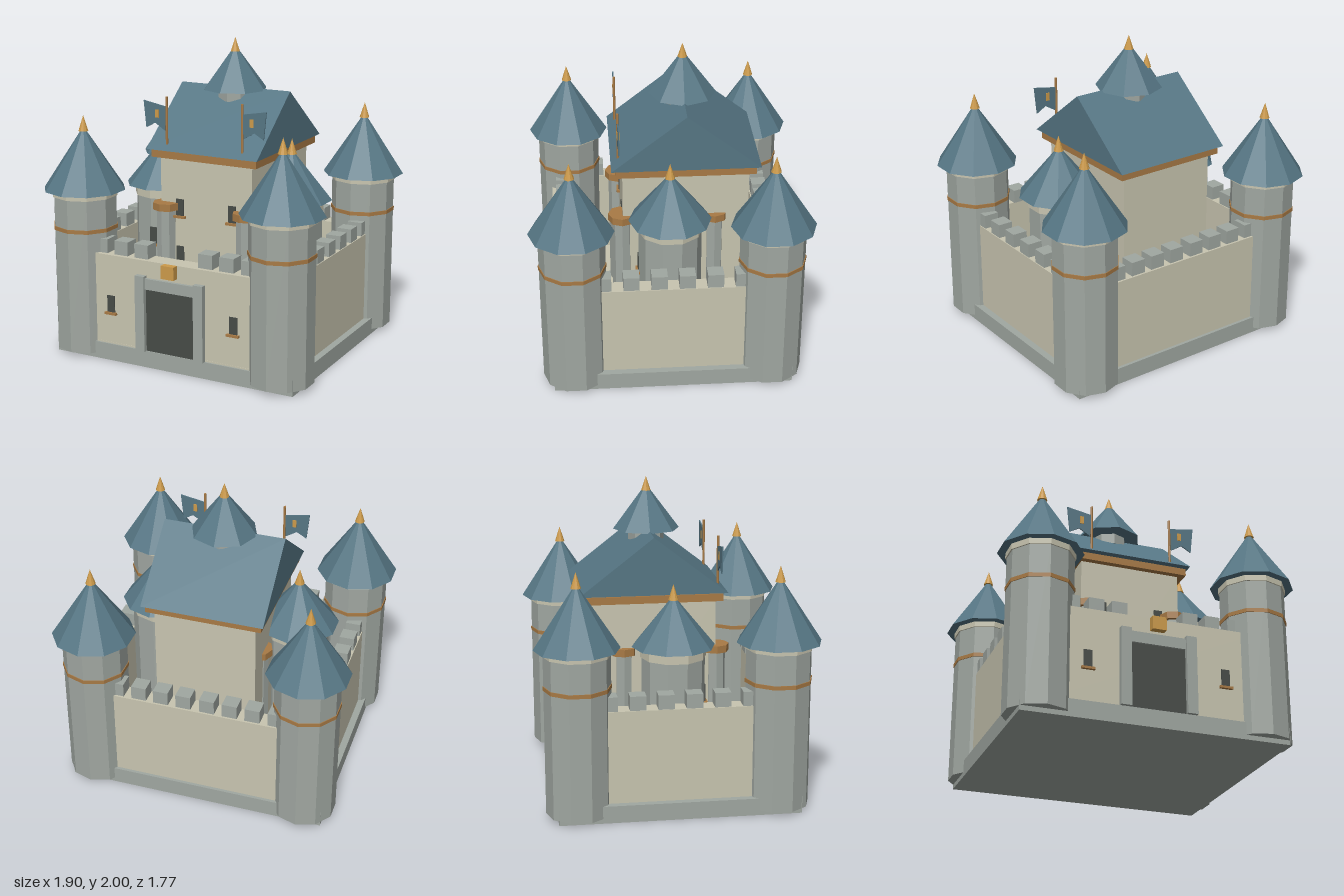
import * as THREE from 'three';

const mat = (name, color) => {
  const m = new THREE.MeshStandardMaterial({ color });
  m.name = name;
  return m;
};

export function createModel() {
  const cream = mat('cream plaster', 0xc8c5b0);
  const stone = mat('grey stone', 0xa0a7a1);
  const slate = mat('blue slate', 0x567684);
  const dark = mat('dark opening', 0x474b47);
  const copper = mat('copper trim', 0xa87a45);
  const gold = mat('gold', 0xcc9a4a);
  const castle = new THREE.Group();
  castle.name = 'castle';

  const add = (parent, name, geo, material, x = 0, y = 0, z = 0) => {
    const mesh = new THREE.Mesh(geo, material);
    mesh.name = name;
    mesh.position.set(x, y, z);
    parent.add(mesh);
    return mesh;
  };
  // Box given by its extents along each axis
  const box = (parent, name, m, x0, x1, y0, y1, z0, z1) =>
    add(parent, name, new THREE.BoxGeometry(x1 - x0, y1 - y0, z1 - z0), m,
      (x0 + x1) / 2, (y0 + y1) / 2, (z0 + z1) / 2);
  // Faceted prism or cone between two heights
  const prism = (parent, name, m, rTop, rBottom, y0, y1, sides, x = 0, z = 0) => {
    const geo = new THREE.CylinderGeometry(rTop, rBottom, y1 - y0, sides).toNonIndexed();
    geo.computeVertexNormals();
    return add(parent, name, geo, m, x, (y0 + y1) / 2, z);
  };
  const group = (name, x = 0, y = 0, z = 0) => {
    const g = new THREE.Group();
    g.name = name;
    g.position.set(x, y, z);
    castle.add(g);
    return g;
  };
  // Window pane with a sill, facing +z from its group origin
  const windowAt = (name, x, y, z, turn = 0) => {
    const g = group(name, x, y, z);
    g.rotation.y = turn;
    box(g, 'pane', dark, -0.0275, 0.0275, -0.055, 0.055, -0.004, 0.004);
    box(g, 'sill', copper, -0.042, 0.042, -0.07, -0.055, -0.01, 0.018);
  };

  // Plinth and courtyard floor
  box(castle, 'plinth', stone, -0.845, 0.845, 0, 0.11, -0.755, 0.757);
  box(castle, 'courtyardFloor', cream, -0.8, 0.8, 0.11, 0.12, -0.735, 0.747);

  // Curtain walls
  box(castle, 'frontWall', cream, -0.65, 0.65, 0.11, 0.7, 0.625, 0.745);
  box(castle, 'backWall', cream, -0.65, 0.65, 0.11, 0.7, -0.735, -0.615);
  for (const s of [-1, 1]) {
    const [a, b] = s > 0 ? [0.69, 0.8] : [-0.8, -0.69];
    box(castle, s > 0 ? 'leftWall' : 'rightWall', cream, a, b, 0.11, 0.7, -0.6, 0.6);
  }

  // Battlements, open above the gate
  const merlon = (x, z) => box(castle, 'merlon', stone,
    x - 0.049, x + 0.049, 0.7, 0.79, z - 0.05, z + 0.05);
  for (const s of [-1, 1]) {
    for (const x of [0.078, 0.228, 0.375, 0.525]) {
      merlon(s * x, -0.672);
      if (x > 0.1) merlon(s * x, 0.667);
    }
    for (let i = 0; i < 6; i++) merlon(s * 0.745, (i - 2.5) * 0.174);
  }

  // Gatehouse
  box(castle, 'gate', dark, -0.175, 0.175, 0.11, 0.52, 0.744, 0.752);
  box(castle, 'gateLintel', stone, -0.185, 0.185, 0.52, 0.59, 0.73, 0.766);
  for (const s of [-1, 1])
    box(castle, 'gatePillar', stone, s * 0.208 - 0.033, s * 0.208 + 0.033, 0.11, 0.605, 0.72, 0.78);
  box(castle, 'gatePlaque', gold, -0.045, 0.045, 0.615, 0.7, 0.744, 0.788);
  for (const s of [-1, 1]) windowAt('wallWindow', s * 0.437, 0.378, 0.746);

  // Ten-sided tower with collar, conical roof and finial
  const tower = (name, x, z, t) => {
    const g = group(name, x, 0, z);
    prism(g, 'body', stone, t.r, t.r, t.base, t.collar, 10);
    prism(g, 'collar', cream, t.r + 0.008, t.r + 0.008, t.collar, t.eave, 10);
    prism(g, 'roof', slate, 0, t.roofR, t.eave, t.tip - 0.07, 10);
    prism(g, 'finial', gold, 0, 0.032, t.tip - 0.1, t.tip, 10);
    return g;
  };
  for (const sx of [-1, 1]) {
    for (const sz of [-1, 1]) {
      const g = tower('cornerTower', sx * 0.7, sz * 0.62,
        { r: 0.206, base: 0.03, collar: 1.04, eave: 1.077, roofR: 0.265, tip: 1.55 });
      prism(g, 'band', copper, 0.211, 0.211, 0.825, 0.85, 10);
    }
    tower('sideTower', sx * 0.465, 0,
      { r: 0.2, base: 0.12, collar: 0.94, eave: 1.008, roofR: 0.262, tip: 1.4 });
    windowAt('sideTowerWindow', sx * 0.445, 0.69, 0.2);
  }

  // Keep with cornice and gabled roof
  box(castle, 'keep', cream, -0.33, 0.33, 0.12, 1.26, -0.51, 0.29);
  box(castle, 'cornice', copper, -0.375, 0.375, 1.258, 1.305, -0.55, 0.33);
  const gable = new THREE.Shape([
    new THREE.Vector2(-0.47, 0), new THREE.Vector2(0.47, 0), new THREE.Vector2(0, 0.365)]);
  const roofGeo = new THREE.ExtrudeGeometry(gable, { depth: 0.79, bevelEnabled: false });
  roofGeo.translate(0, 0, -0.395).rotateY(-Math.PI / 2);
  add(castle, 'keepRoof', roofGeo, slate, 0, 1.313, -0.11);
  for (const s of [-1, 1])
    for (const y of [0.935, 0.62]) windowAt('keepWindow', s * 0.19, y, 0.292);

  // Small turrets on the keep corners
  for (const sx of [-1, 1])
    for (const sz of [-1, 1]) {
      const g = group('keepTurret', sx * 0.29, 0, sz * 0.295);
      prism(g, 'shaft', stone, 0.065, 0.065, 0.12, 0.915, 8);
      prism(g, 'cap', copper, 0.088, 0.088, 0.915, 0.962, 8);
    }

  // Cupola on the ridge
  const cupola = group('cupola', 0, 0, -0.11);
  prism(cupola, 'drum', stone, 0.115, 0.115, 1.595, 1.67, 8);
  prism(cupola, 'roof', slate, 0, 0.213, 1.665, 1.95, 8);
  prism(cupola, 'finial', gold, 0, 0.032, 1.905, 2, 8);

  // Swallow-tailed flags, mirrored
  for (const s of [-1, 1]) {
    const g = group('flag', s * 0.27, 0, 0.312);
    prism(g, 'pole', copper, 0.008, 0.008, 1.345, 1.655, 6);
    const cloth = new THREE.Shape([[0, 1.59], [0.168, 1.62], [0.15, 1.443], [0.085, 1.48], [0.012, 1.435]]
      .map(([x, y]) => new THREE.Vector2(s * x, y)));
    add(g, 'cloth', new THREE.ExtrudeGeometry(cloth, { depth: 0.008, bevelEnabled: false }), slate, 0, 0, -0.004);
    box(g, 'emblem', gold, s * 0.068 - 0.013, s * 0.068 + 0.013, 1.515, 1.567, -0.008, 0.008);
  }

  // Courtyard well, paving and stone stumps
  prism(castle, 'wellBase', cream, 0.095, 0.095, 0.12, 0.15, 10, 0, 0.41);
  prism(castle, 'wellRim', stone, 0.062, 0.062, 0.15, 0.21, 10, 0, 0.41);
  for (const s of [-1, 1])
    box(castle, 'paving', cream, s * 0.215 - 0.078, s * 0.215 + 0.078, 0.12, 0.128, 0.4, 0.525);
  for (const [x, z] of [[-0.12, 0.525], [0.335, 0.42], [-0.48, -0.27], [-0.48, 0.265], [-0.12, -0.56]])
    prism(castle, 'stump', stone, 0.035, 0.06, 0.12, 0.24, 6, x, z);

  return castle;
}
